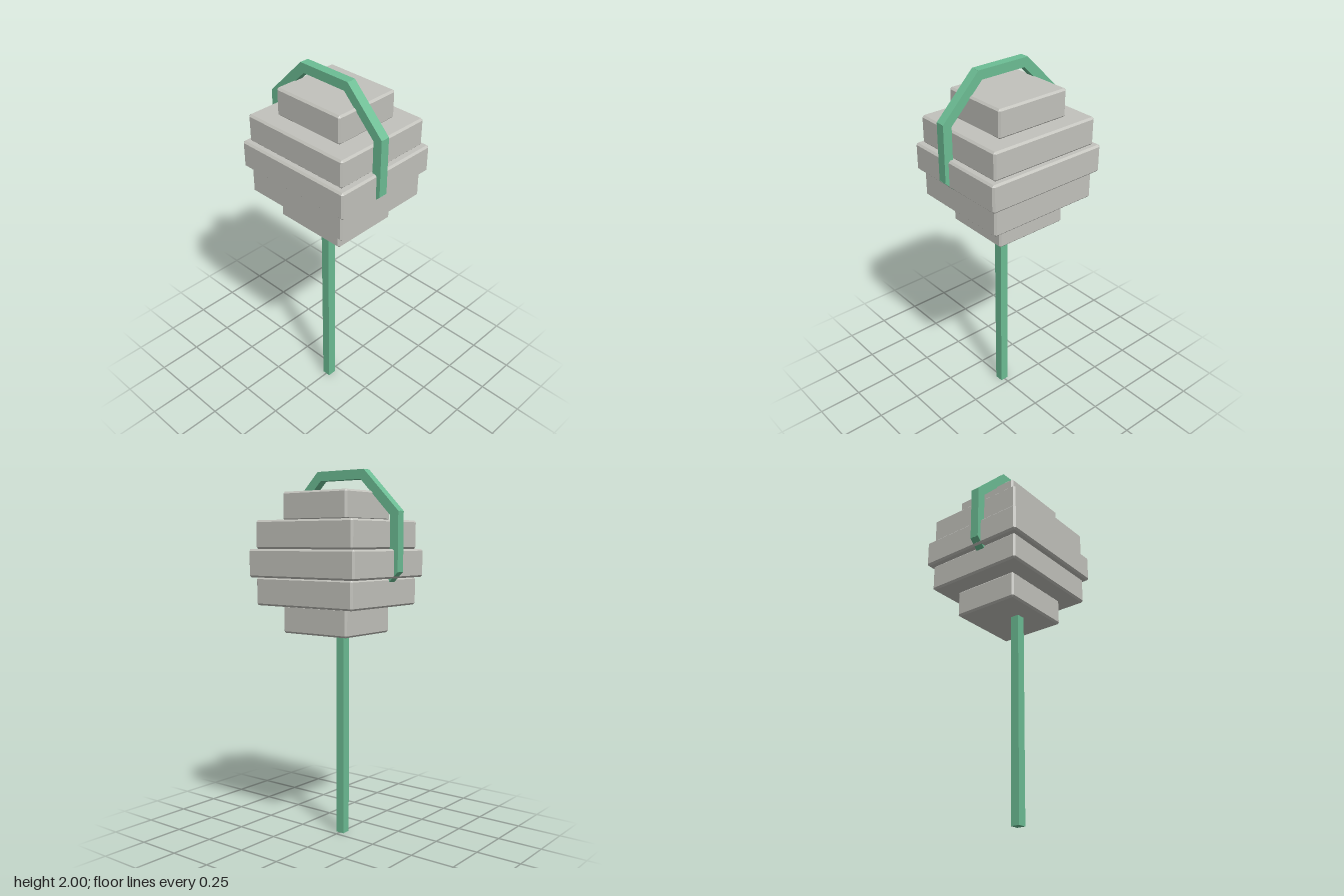
import * as THREE from 'three';
import { ConvexGeometry } from 'three/addons/geometries/ConvexGeometry.js';

// Box with flat chamfers along every edge
function chamferedBox(w, h, d, c) {
  const points = [];
  for (const x of [-1, 1]) for (const y of [-1, 1]) for (const z of [-1, 1]) {
    for (let axis = 0; axis < 3; axis++) {
      points.push(new THREE.Vector3(
        x * (w / 2 - (axis === 0 ? 0 : c)),
        y * (h / 2 - (axis === 1 ? 0 : c)),
        z * (d / 2 - (axis === 2 ? 0 : c))
      ));
    }
  }
  return new ConvexGeometry(points);
}

export function createModel() {
  const model = new THREE.Group();
  model.name = 'steppedLantern';

  const stone = new THREE.MeshStandardMaterial({ color: 0xc2c2bc });
  stone.name = 'warmGrey';
  const green = new THREE.MeshStandardMaterial({ color: 0x6cbd94 });
  green.name = 'softGreen';

  const bar = 0.05;      // thickness of stem and ring
  const barZ = 0.056;    // plane of stem and ring

  // Stepped head: five stacked slabs, widest in the middle
  const head = new THREE.Group();
  head.name = 'head';
  const tiers = [
    [0.426, 0.384, 1.215], [0.642, 0.574, 1.365], [0.70, 0.624, 1.514],
    [0.642, 0.574, 1.664], [0.426, 0.384, 1.812],
  ];
  tiers.forEach(([w, d, y], i) => {
    const tier = new THREE.Mesh(chamferedBox(w, 0.15, d, 0.01), stone);
    tier.position.y = y;
    tier.name = `tier${i + 1}`;
    head.add(tier);
  });
  model.add(head);

  // Octagonal ring of straight bars, its lower part sunk into the head
  const ring = new THREE.Group();
  ring.name = 'ring';
  ring.position.set(0, 1.627, barZ);
  const apothem = 0.348;
  const segment = new THREE.BoxGeometry(0.31, bar, bar);
  for (let i = 0; i < 8; i++) {
    const a = (i * Math.PI) / 4;
    const side = new THREE.Mesh(segment, green);
    side.position.set(Math.sin(a) * apothem, Math.cos(a) * apothem, 0);
    side.rotation.z = -a;
    side.name = `ringSide${i + 1}`;
    ring.add(side);
  }
  model.add(ring);

  // Square stem
  const stem = new THREE.Mesh(new THREE.BoxGeometry(bar, 1.16, bar), green);
  stem.position.set(0, 0.58, barZ);
  stem.name = 'stem';
  model.add(stem);

  return model;
}
